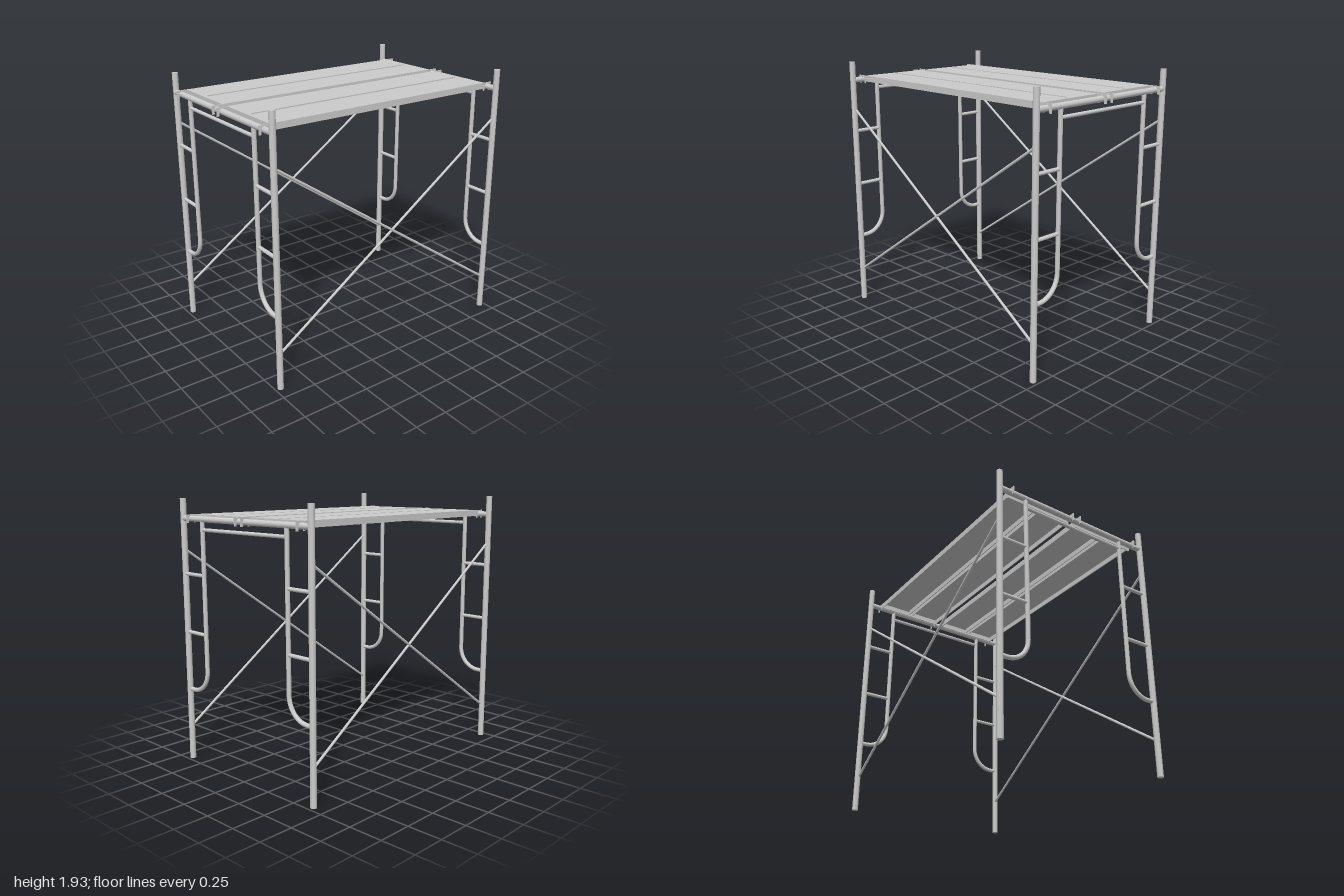
import * as THREE from 'three';

const material = new THREE.MeshStandardMaterial({ color: 0xcccccc });
const V = (x, y, z) => new THREE.Vector3(x, y, z);

const POST_X = 0.96, POST_Z = 0.647, TOP_Y = 1.79;

function add(parent, name, geometry) {
  const mesh = new THREE.Mesh(geometry, material);
  mesh.name = name;
  parent.add(mesh);
  return mesh;
}

// Closed round bar between two points
function bar(parent, name, a, b, radius, sides = 16) {
  const dir = b.clone().sub(a);
  const mesh = add(parent, name, new THREE.CylinderGeometry(radius, radius, dir.length(), sides));
  mesh.position.copy(a).add(b).multiplyScalar(0.5);
  mesh.quaternion.setFromUnitVectors(V(0, 1, 0), dir.normalize());
  return mesh;
}

function box(parent, name, w, h, d, x, y, z) {
  const mesh = add(parent, name, new THREE.BoxGeometry(w, h, d));
  mesh.position.set(x, y, z);
  return mesh;
}

function endFrame(x) {
  const frame = new THREE.Group();
  frame.name = 'endFrame';
  bar(frame, 'topBeam', V(x, TOP_Y, -POST_Z), V(x, TOP_Y, POST_Z), 0.021);
  bar(frame, 'lowerBeam', V(x, 1.717, -0.43), V(x, 1.717, 0.43), 0.013);
  for (const s of [-1, 1]) {
    bar(frame, 'post', V(x, 0, s * POST_Z), V(x, 1.93, s * POST_Z), 0.022, 20);
    // Inner upright that curves outward into the post
    const path = new THREE.CurvePath();
    const corner = s * 0.43;
    path.add(new THREE.LineCurve3(V(x, TOP_Y, corner), V(x, 0.705, corner)));
    path.add(new THREE.CubicBezierCurve3(
      V(x, 0.705, corner), V(x, 0.612, corner), V(x, 0.539, s * 0.503), V(x, 0.539, s * 0.595)));
    path.add(new THREE.LineCurve3(V(x, 0.539, s * 0.595), V(x, 0.539, s * POST_Z)));
    add(frame, 'innerUpright', new THREE.TubeGeometry(path, 80, 0.016, 12));
    for (const y of [0.97, 1.395]) {
      bar(frame, 'rung', V(x, y, corner), V(x, y, s * POST_Z), 0.0135);
    }
  }
  return frame;
}

// Hook plate with a notch that sits over the top beam
function hook(side, z) {
  const s = new THREE.Shape();
  s.moveTo(0.915, 1.775);
  s.lineTo(0.928, 1.76);
  s.lineTo(0.938, 1.76);
  s.lineTo(0.938, TOP_Y);
  s.absarc(POST_X, TOP_Y, 0.022, Math.PI, 0, true);
  s.lineTo(0.982, 1.76);
  s.lineTo(1, 1.76);
  s.lineTo(1, 1.82);
  s.lineTo(0.915, 1.82);
  s.closePath();
  const geometry = new THREE.ExtrudeGeometry(s, { depth: 0.006, bevelEnabled: false });
  geometry.translate(0, 0, -0.003);
  if (side < 0) geometry.rotateY(Math.PI);
  geometry.translate(0, 0, z);
  return geometry;
}

function plank(zc) {
  const group = new THREE.Group();
  group.name = 'plank';
  const L = 0.923, W = 0.262, slotL = 0.895, slotW = 0.013, t = 0.006;
  const rect = (P, a, b) => new P([
    new THREE.Vector2(-a, -b), new THREE.Vector2(a, -b),
    new THREE.Vector2(a, b), new THREE.Vector2(-a, b)]);

  // Deck sheet with a long slot
  const shape = rect(THREE.Shape, L, W);
  shape.holes.push(rect(THREE.Path, slotL, slotW));
  const deck = add(group, 'deckSheet', new THREE.ExtrudeGeometry(shape, { depth: t, bevelEnabled: false }));
  deck.rotation.x = -Math.PI / 2;
  deck.position.y = 1.82 - t;

  // Folded edges around the rim and the slot, hollow underneath
  const h = 0.04, y = 1.815 - h / 2;
  for (const s of [-1, 1]) {
    box(group, 'sideEdge', 2 * L, h, t, 0, y, s * (W - t / 2));
    box(group, 'slotEdge', 2 * slotL, h, t, 0, y, s * (slotW + t / 2));
    box(group, 'endEdge', t, h, 2 * W, s * (L - t / 2), y, 0);
    for (const e of [-1, 1]) add(group, 'hook', hook(e, s * W));
  }
  group.position.z = zc;
  return group;
}

export function createModel() {
  const model = new THREE.Group();
  model.name = 'scaffold';
  for (const s of [-1, 1]) {
    model.add(endFrame(s * POST_X));
    model.add(plank(s * 0.294));
    // Crossed braces between the posts
    const brace = new THREE.Group();
    brace.name = 'crossBrace';
    for (const d of [-1, 1]) {
      bar(brace, 'braceRod', V(-d * 0.955, 1.565, s * 0.641), V(d * 0.955, 0.26, s * 0.641), 0.0095, 12);
    }
    model.add(brace);
  }
  return model;
}
